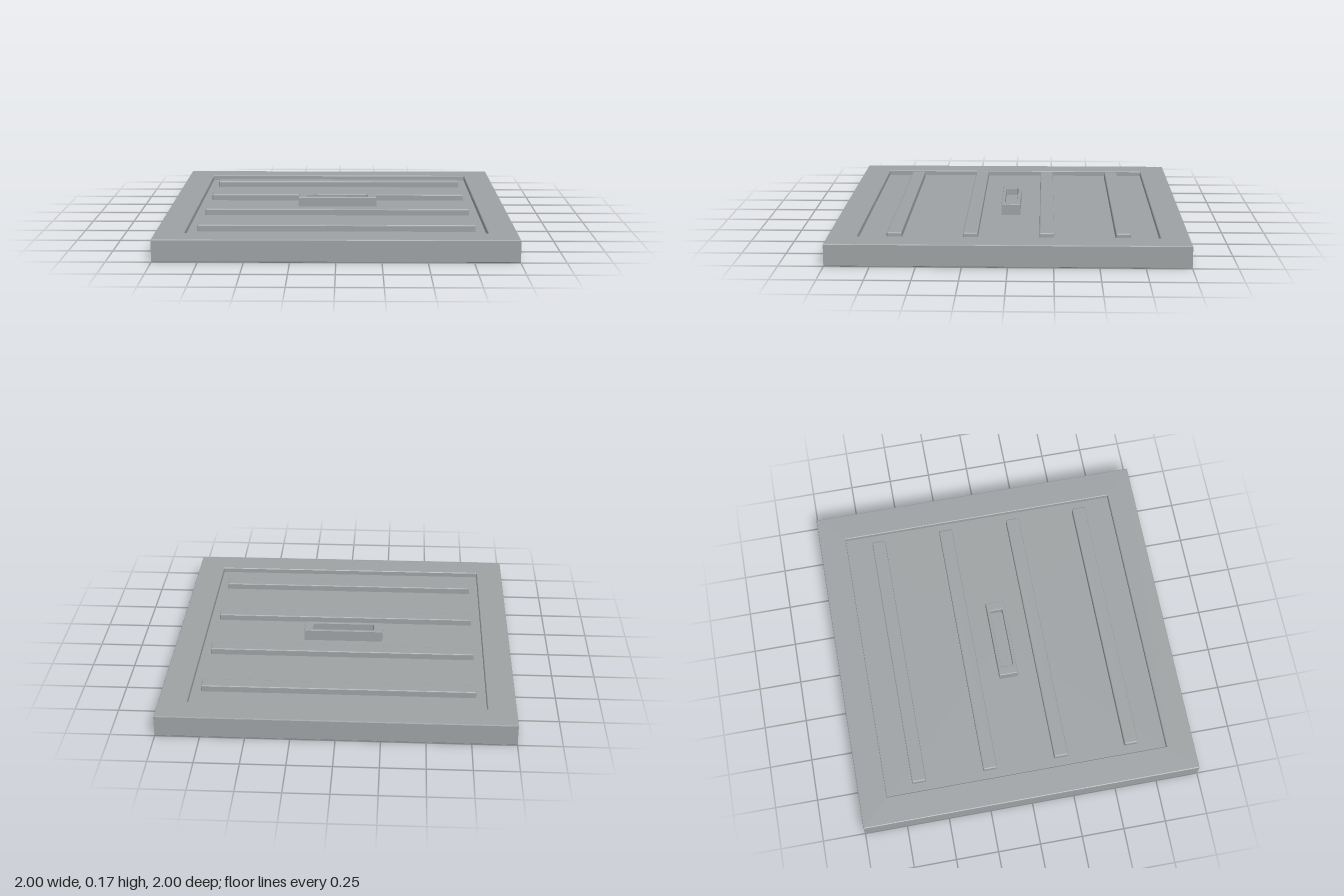
import * as THREE from 'three';
import { RoundedBoxGeometry } from 'three/addons/geometries/RoundedBoxGeometry.js';

const FLOOR = 0.097; // height of the recessed panel

export function createModel() {
  const group = new THREE.Group();
  const material = new THREE.MeshStandardMaterial({ color: 0x9ea2a4, flatShading: true });
  const add = (name, geometry, x = 0, y = 0, z = 0) => {
    const mesh = new THREE.Mesh(geometry, material);
    mesh.name = name;
    mesh.position.set(x, y, z);
    group.add(mesh);
  };

  // Square slab: half-width and height profile swept round four sides,
  // with softened rim and sunken panel
  const profile = [
    [0, 0], [0.995, 0], [0.9985, 0.0015], [1, 0.005],
    [1, 0.122], [0.9985, 0.1255], [0.995, 0.127],
    [0.842, 0.127], [0.838, 0.123], [0.838, FLOOR], [0, FLOOR],
  ].map(([half, y]) => new THREE.Vector2(half * Math.SQRT2, y));
  const slab = new THREE.LatheGeometry(profile, 4);
  slab.rotateY(Math.PI / 4);
  add('hatchPlate', slab);

  // Four reinforcing ribs
  for (const z of [-0.637, -0.213, 0.213, 0.637]) {
    add('rib', new RoundedBoxGeometry(1.564, 0.05, 0.082, 2, 0.007), 0, 0.11, z);
  }

  // Handle: rectangular block with a rounded slot in its top
  const bevel = 0.004;
  const outline = new THREE.Shape();
  const w = 0.236 - bevel, d = 0.056 - bevel;
  outline.moveTo(-w, -d).lineTo(w, -d).lineTo(w, d).lineTo(-w, d).closePath();

  const slot = new THREE.Path();
  const sw = 0.183 + bevel, sd = 0.037 + bevel, r = 0.014;
  slot.absarc(sw - r, sd - r, r, 0, Math.PI / 2);
  slot.absarc(-sw + r, sd - r, r, Math.PI / 2, Math.PI);
  slot.absarc(-sw + r, -sd + r, r, Math.PI, Math.PI * 1.5);
  slot.absarc(sw - r, -sd + r, r, Math.PI * 1.5, Math.PI * 2);
  slot.closePath();
  outline.holes.push(slot);

  const handle = new THREE.ExtrudeGeometry(outline, {
    depth: 0.072 - bevel * 2, bevelThickness: bevel, bevelSize: bevel,
    bevelSegments: 2, curveSegments: 4,
  });
  handle.rotateX(-Math.PI / 2);
  add('handle', handle, 0, 0.165 - 0.072 + bevel, 0);

  // Slot floor
  add('handleSlotFloor', new THREE.BoxGeometry(0.4, 0.03, 0.09), 0, 0.105, 0);

  return group;
}
